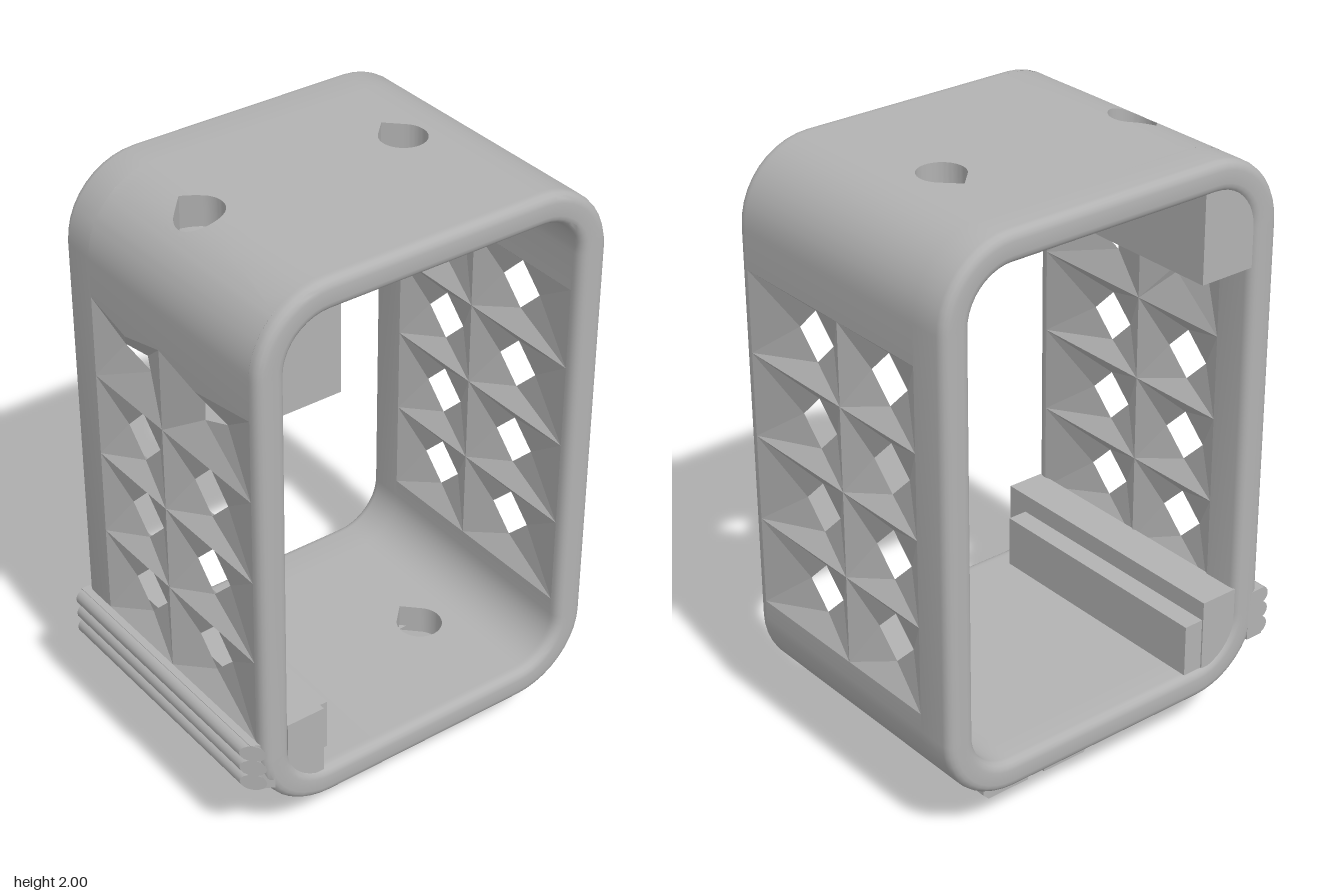
import * as THREE from 'three';
import { toCreasedNormals } from 'three/addons/utils/BufferGeometryUtils.js';

const X0 = -0.36, X1 = 0.45;           // lattice band across the width
const HALF = Math.PI / 2;
const ZF = 0.36, ZB = -0.4, YT = 1.75, YB = 0.4, R = 0.25, WALL = 0.1;

// Triangle collector
function collector() {
  const pos = [];
  const tri = (a, b, c, flip) => pos.push(...a, ...(flip ? c : b), ...(flip ? b : c));
  const grid = (rows) => {
    for (let i = 0; i + 1 < rows.length; i++) {
      for (let j = 0; j + 1 < rows[i].length; j++) {
        const a = rows[i][j], b = rows[i + 1][j], c = rows[i + 1][j + 1], d = rows[i][j + 1];
        tri(a, b, c);
        tri(a, c, d);
      }
    }
  };
  const geometry = () => {
    const g = new THREE.BufferGeometry();
    g.setAttribute('position', new THREE.Float32BufferAttribute(pos, 3));
    g.computeVertexNormals();
    return g;
  };
  return { tri, grid, geometry };
}

// Corner arc of the case outline as [z, y]; d is the inset from the outside
function arc(cz, cy, d, a0, a1, n = 10) {
  return Array.from({ length: n + 1 }, (_, i) => {
    const a = a0 + (a1 - a0) * i / n;
    return [cz + (R - d) * Math.cos(a), cy + (R - d) * Math.sin(a)];
  });
}
function outline(d) {
  const p = [...arc(ZF, YT, d, 0, HALF), ...arc(ZB, YT, d, HALF, 2 * HALF),
    ...arc(ZB, YB, d, 2 * HALF, 3 * HALF), ...arc(ZF, YB, d, 3 * HALF, 4 * HALF)];
  return [...p, p[0]];
}

function buildShell() {
  const { grid, geometry } = collector();
  // Rounded rims at both open sides
  const rim = (start, end, s) => {
    const f = 0.03, sec = [[start, 0]];
    for (let i = 0; i <= 4; i++) {
      const a = HALF * i / 4;
      sec.push([end - s * f * (1 - Math.sin(a)), f * (1 - Math.cos(a))]);
    }
    for (let i = 4; i >= 0; i--) {
      const a = HALF * i / 4;
      sec.push([end - s * f * (1 - Math.sin(a)), WALL - f * (1 - Math.cos(a))]);
    }
    sec.push([start, WALL]);
    const rows = sec.map(([x, d]) => outline(d).map(([z, y]) => [x, y, z]));
    grid(s > 0 ? rows : rows.reverse());
  };
  rim(X1, 0.49, 1);
  rim(X0, -0.495, -1);

  // Middle strips, outside and inside
  const strip = (pts, inner) => {
    const rows = [X0, X1].map((x) => pts.map(([z, y]) => [x, y, z]));
    grid(inner ? rows.reverse() : rows);
  };
  const cut = Math.acos(0.17 / R);
  strip([[0.61, 1.62], ...arc(ZF, YT, 0, 0, cut)]);
  strip([[0.3, 2], [-0.2, 2]]);
  strip([...arc(ZB, YT, 0, HALF, 2 * HALF), [-0.65, 1.62]]);
  strip([[-0.65, 0.46], ...arc(ZB, YB, 0, 2 * HALF, 3 * HALF)]);
  strip([[-0.2, 0.15], [0.3, 0.15]]);
  strip([...arc(ZF, YB, 0, 4 * HALF - cut, 4 * HALF), [0.61, 0.46]]);
  strip([[0.51, 1.62], ...arc(ZF, YT, WALL, 0, HALF), [-0.2, 1.9]], true);
  strip([...arc(ZB, YT, WALL, HALF, 2 * HALF), [-0.55, 1.62]], true);
  strip([[-0.55, 0.46], ...arc(ZB, YB, WALL, 2 * HALF, 3 * HALF)], true);
  strip([[-0.2, 0.25], ...arc(ZF, YB, WALL, 3 * HALF, 4 * HALF), [0.51, 0.46]], true);

  // Teardrop holes, each in a patch of the top or bottom skin
  const patch = (cx, cz, z0, z1, top, blindY) => {
    const r = 0.075, angles = [];
    for (let i = 0; i <= 64; i++) angles.push(i / 64 * Math.PI * 2);
    for (const x of [X0, X1]) for (const z of [z0, z1]) {
      angles.push((Math.atan2(z - cz, x - cx) + Math.PI * 2) % (Math.PI * 2));
    }
    angles.sort((a, b) => a - b);
    const drop = (a) => {
      const q = Math.abs(a - Math.PI);
      return q < Math.PI / 4 ? r / Math.cos(Math.PI / 4 - q) : r;
    };
    const reach = (a) => {
      const c = Math.cos(a), s = Math.sin(a);
      return Math.min(Math.abs(c) < 1e-6 ? 9 : ((c > 0 ? X1 : X0) - cx) / c,
        Math.abs(s) < 1e-6 ? 9 : ((s > 0 ? z1 : z0) - cz) / s);
    };
    const outerY = (z) => {
      const rise = z > ZF ? Math.sqrt(R * R - (z - ZF) ** 2) : R;
      return top ? YT + rise : YB - rise;
    };
    const ring = (k, yOf) => angles.map((a) => {
      const d = k < 0 ? 0 : drop(a) + (reach(a) - drop(a)) * k;
      const z = cz + d * Math.sin(a);
      return [cx + d * Math.cos(a), yOf(z), z];
    });
    const skin = (yOf, up) => {
      const rows = Array.from({ length: 7 }, (_, i) => ring(i / 6, yOf));
      grid(up ? rows.reverse() : rows);
    };
    skin(outerY, top);
    const deepY = () => blindY ?? (top ? 1.9 : 0.25);
    const well = [ring(0, outerY), ring(0, deepY)];
    grid(top ? well : well.reverse());
    if (blindY === undefined) skin(deepY, !top);
    else grid(top ? [ring(0, deepY), ring(-1, deepY)] : [ring(-1, deepY), ring(0, deepY)]);
  };
  patch(-0.045, -0.3, -0.4, -0.2, true);
  patch(-0.045, 0.425, 0.3, 0.53, true, 1.8);
  patch(0.09, -0.3, -0.4, -0.2, false);
  patch(0.09, 0.425, 0.3, 0.53, false, 0.24);
  return toCreasedNormals(geometry(), 0.5);
}

// Faceted cells around diamond holes, on both faces of a wall
function buildLattice(zOut, zIn, front) {
  const { tri, geometry } = collector();
  const mid = (zOut + zIn) / 2;
  const ys = [0.46, 0.765, 1.06, 1.345, 1.62];
  const odd = [
    [[-0.12, 1.465], [-0.14, 1.51], [-0.18, 1.575], [-0.26, 1.49]],
    [[0.155, 1.445], [0.27, 1.49], [0.18, 1.575], [0.16, 1.54]],
  ];
  for (let row = 0; row < 4; row++) {
    for (let col = 0; col < 2; col++) {
      const [xa, xb, cx] = col ? [0, X1, 0.175] : [X0, 0, -0.18];
      const cy = 0.62 + 0.29 * row, h = 0.085;
      const torn = front && row === 3;
      const hole = torn ? odd[col] : [[cx, cy - h], [cx + h, cy], [cx, cy + h], [cx - h, cy]];
      for (const z of [zOut, zIn]) {
        const flip = (z === zOut) !== front;
        const c = [[xa, ys[row]], [xb, ys[row]], [xb, ys[row + 1]], [xa, ys[row + 1]]].map((p) => [...p, z]);
        const m = hole.map((p, i) => [...p, torn && i === 2 ? z : mid]);
        for (let i = 0; i < 4; i++) {
          const n = (i + 1) % 4;
          tri(c[i], c[n], m[i], flip);
          tri(c[n], m[n], m[i], flip);
        }
        if (torn) tri(m[3], m[1], m[2], flip);
      }
    }
  }
  return geometry();
}

export function createModel() {
  const group = new THREE.Group();
  const grey = new THREE.MeshStandardMaterial({ color: 0xb2b2b2, side: THREE.DoubleSide });
  grey.name = 'grey plastic';
  const add = (name, geometry) => {
    const mesh = new THREE.Mesh(geometry, grey);
    mesh.name = name;
    group.add(mesh);
    return mesh;
  };
  const box = (name, x0, x1, y0, y1, z0, z1) => add(name, new THREE.BoxGeometry(x1 - x0, y1 - y0, z1 - z0)
    .translate((x0 + x1) / 2, (y0 + y1) / 2, (z0 + z1) / 2));

  add('caseShell', buildShell());
  add('frontLattice', buildLattice(0.61, 0.51, true));
  add('backLattice', buildLattice(-0.65, -0.55, false));

  // Upper inner block, lower in the middle to leave room for the screw hole
  box('upperBlockRight', -0.485, -0.16, 1.62, 1.92, 0.32, 0.52);
  box('upperBlockMiddle', -0.16, 0.04, 1.62, 1.79, 0.32, 0.52);
  box('upperBlockMiddleBack', -0.16, 0.04, 1.79, 1.92, 0.32, 0.34);
  box('upperBlockLeft', 0.04, 0.48, 1.62, 1.92, 0.32, 0.52);

  // Stepped inner ledge
  box('ledge', -0.485, 0.48, 0.25, 0.495, 0.38, 0.515);
  box('ledgeStep', -0.48, 0.4, 0.25, 0.43, 0.31, 0.38);

  // Grip ribs with a bevelled left end
  const bevel = (g) => {
    const p = g.attributes.position;
    for (let i = 0; i < p.count; i++) {
      if (p.getX(i) > 0) p.setX(i, 0.49 - Math.max(0, p.getZ(i) - 0.6));
    }
    return toCreasedNormals(g, 0.6);
  };
  bevelledBand();
  function bevelledBand() {
    const band = box('gripBand', -0.495, 0.49, 0.285, 0.46, 0.57, 0.635);
    band.geometry = bevel(band.geometry);
    for (const y of [0.315, 0.372, 0.429]) {
      add('gripRib', bevel(new THREE.CylinderGeometry(0.03, 0.03, 0.98, 16)
        .rotateZ(HALF).translate(0, y, 0.63)));
    }
  }

  // Cable clip under the base, slanted on its left side
  const s = new THREE.Shape();
  s.moveTo(-0.04, 0.17);
  s.lineTo(-0.04, 0.02);
  s.lineTo(-0.02, 0);
  s.lineTo(0.145, 0);
  s.lineTo(0.145, 0.03);
  s.absarc(0.178, 0.09, 0.068, -2.07, -1.07, true);
  s.lineTo(0.21, 0);
  s.lineTo(0.37, 0);
  s.lineTo(0.39, 0.02);
  s.lineTo(0.39, 0.17);
  s.closePath();
  const clip = new THREE.ExtrudeGeometry(s, { depth: 1, bevelEnabled: false, curveSegments: 20 }).rotateY(HALF);
  const p = clip.attributes.position;
  for (let i = 0; i < p.count; i++) p.setX(i, p.getX(i) > 0.5 ? -0.16 + p.getY(i) * 0.95 : -0.33);
  add('cableClip', toCreasedNormals(clip, 0.5));
  return group;
}
